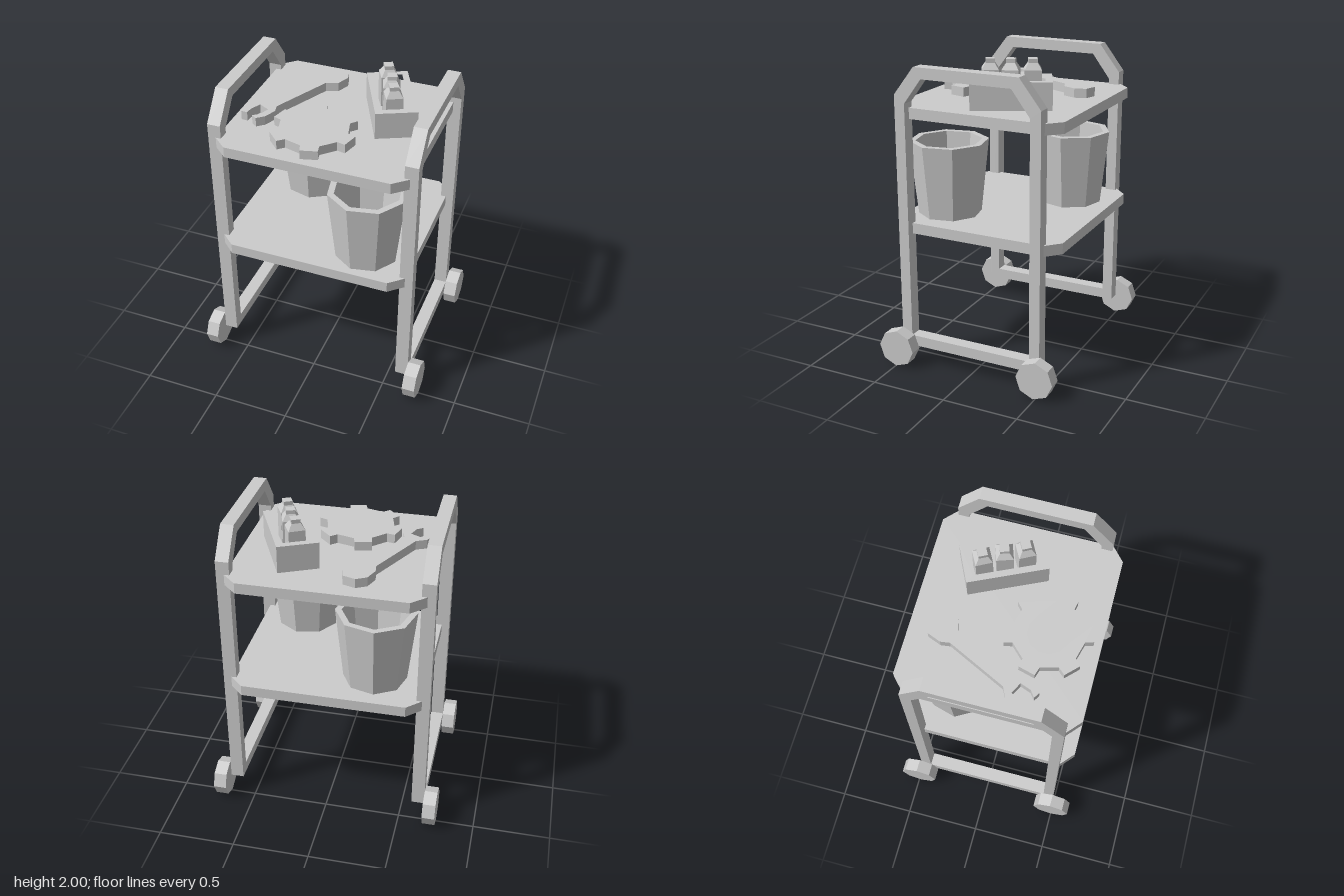
import * as THREE from 'three';

const material = new THREE.MeshStandardMaterial({ color: 0xcccccc, flatShading: true });
const rad = THREE.MathUtils.degToRad;

function add(parent, name, geometry, x = 0, y = 0, z = 0) {
  const mesh = new THREE.Mesh(geometry, material);
  mesh.name = name;
  mesh.position.set(x, y, z);
  parent.add(mesh);
  return mesh;
}

const vectors = (points) => points.map(([a, b]) => new THREE.Vector2(a, b));

function extrude(outline, hole, depth) {
  const shape = new THREE.Shape(vectors(outline));
  if (hole) shape.holes.push(new THREE.Path(vectors(hole)));
  return new THREE.ExtrudeGeometry(shape, { depth, bevelEnabled: false });
}

// Plate lying flat, outlined in (x, z) and rising from y = 0
function plate(outline, hole, height) {
  const flip = (points) => points.map(([x, z]) => [x, -z]);
  return extrude(flip(outline), hole && flip(hole), height).rotateX(-Math.PI / 2);
}

// Faceted turned form; the first corner lies at "angle" degrees from +x towards +z
function turned(profile, sides, angle) {
  return new THREE.LatheGeometry(vectors(profile), sides, rad(90 - angle));
}

const polar = (radius, degrees) => [radius * Math.cos(rad(degrees)), radius * Math.sin(rad(degrees))];

export function createModel() {
  const cart = new THREE.Group();
  cart.name = 'toolCart';

  // Shelves with cut corners
  const shelf = [[-0.525, -0.575], [0.525, -0.575], [0.615, -0.49], [0.615, 0.49],
    [0.525, 0.57], [-0.525, 0.57], [-0.615, 0.49], [-0.615, -0.49]];
  add(cart, 'lowerShelf', plate(shelf, null, 0.07), 0, 0.89, 0);
  add(cart, 'upperShelf', plate(shelf, null, 0.07), 0, 1.635, 0);

  // Side frames with angled handles, outlined in (z, y), and their wheels
  const frameOuter = [[-0.49, 0.13], [0.49, 0.13], [0.49, 1.79], [0.35, 1.97], [-0.35, 1.97], [-0.49, 1.79]];
  const frameInner = [[-0.42, 0.2], [0.42, 0.2], [0.42, 1.74], [0.3, 1.9], [-0.3, 1.9], [-0.42, 1.74]];
  for (const side of [-1, 1]) {
    const frame = extrude(frameOuter, frameInner, 0.085).translate(0, 0, -0.0425).rotateY(-Math.PI / 2);
    add(cart, side > 0 ? 'leftFrame' : 'rightFrame', frame, side * 0.623, 0, 0);
    for (const end of [-1, 1]) {
      const wheel = new THREE.CylinderGeometry(0.124, 0.124, 0.084, 8).rotateZ(Math.PI / 2).rotateX(rad(-3));
      add(cart, end > 0 ? 'frontWheel' : 'backWheel', wheel, side * 0.709, 0.124, end * 0.493);
    }
  }

  // Open buckets on the lower shelf
  const bucket = [[0, 0], [0.205, 0], [0.257, 0.485], [0.215, 0.485], [0.172, 0.04], [0, 0.04]];
  add(cart, 'frontBucket', turned(bucket, 8, 11), 0.307, 0.96, 0.32);
  add(cart, 'backBucket', turned(bucket, 8, 38), -0.28, 0.96, -0.28);

  // Six-toothed gear
  const gear = [];
  for (let i = 0; i < 6; i++) {
    const a = 15 + i * 60;
    gear.push(polar(0.22, a - 15), polar(0.272, a - 11.5), polar(0.272, a + 11.5), polar(0.22, a + 15));
  }
  const gearHole = Array.from({ length: 12 }, (_, i) => polar(0.13, i * 30 + 15));
  add(cart, 'gear', plate(gear, gearHole, 0.06), -0.07, 1.705, 0.25);

  // Wrench with a ring end and an open jaw
  const wrench = [[-0.185, -0.475], [-0.105, -0.45], [-0.085, -0.375], [-0.12, -0.29], [-0.195, -0.265],
    [-0.375, 0.115], [-0.362, 0.17], [-0.395, 0.25], [-0.44, 0.288], [-0.475, 0.265], [-0.435, 0.235],
    [-0.41, 0.168], [-0.48, 0.132], [-0.513, 0.2], [-0.517, 0.245], [-0.558, 0.243], [-0.56, 0.19],
    [-0.52, 0.105], [-0.455, 0.075], [-0.275, -0.295], [-0.283, -0.355], [-0.25, -0.44]];
  const wrenchHole = [[-0.203, -0.435], [-0.122, -0.4], [-0.16, -0.312], [-0.247, -0.35]];
  add(cart, 'wrench', plate(wrench, wrenchHole, 0.06), 0, 1.705, 0);

  // Open box, turned on the shelf
  const rectangle = (w, d) => [[-w, -d], [w, -d], [w, d], [-w, d]];
  const box = new THREE.Group();
  box.name = 'bottleBox';
  box.position.set(0.297, 1.705, -0.12);
  box.rotation.y = rad(25.3);
  add(box, 'boxWalls', plate(rectangle(0.13, 0.25), rectangle(0.09, 0.207), 0.175));
  add(box, 'boxFloor', new THREE.BoxGeometry(0.19, 0.03, 0.42), 0, 0.015, 0);
  cart.add(box);

  // Square bottles standing in the box
  const bottle = [[0, 0], [0.074, 0], [0.074, 0.2], [0.04, 0.24], [0.04, 0.265], [0, 0.265]];
  for (const [x, z, angle] of [[0.235, -0.235, 17], [0.295, -0.117, 26], [0.345, 0, 17]]) {
    add(cart, 'bottle', turned(bottle, 4, angle), x, 1.735, z);
  }

  return cart;
}
